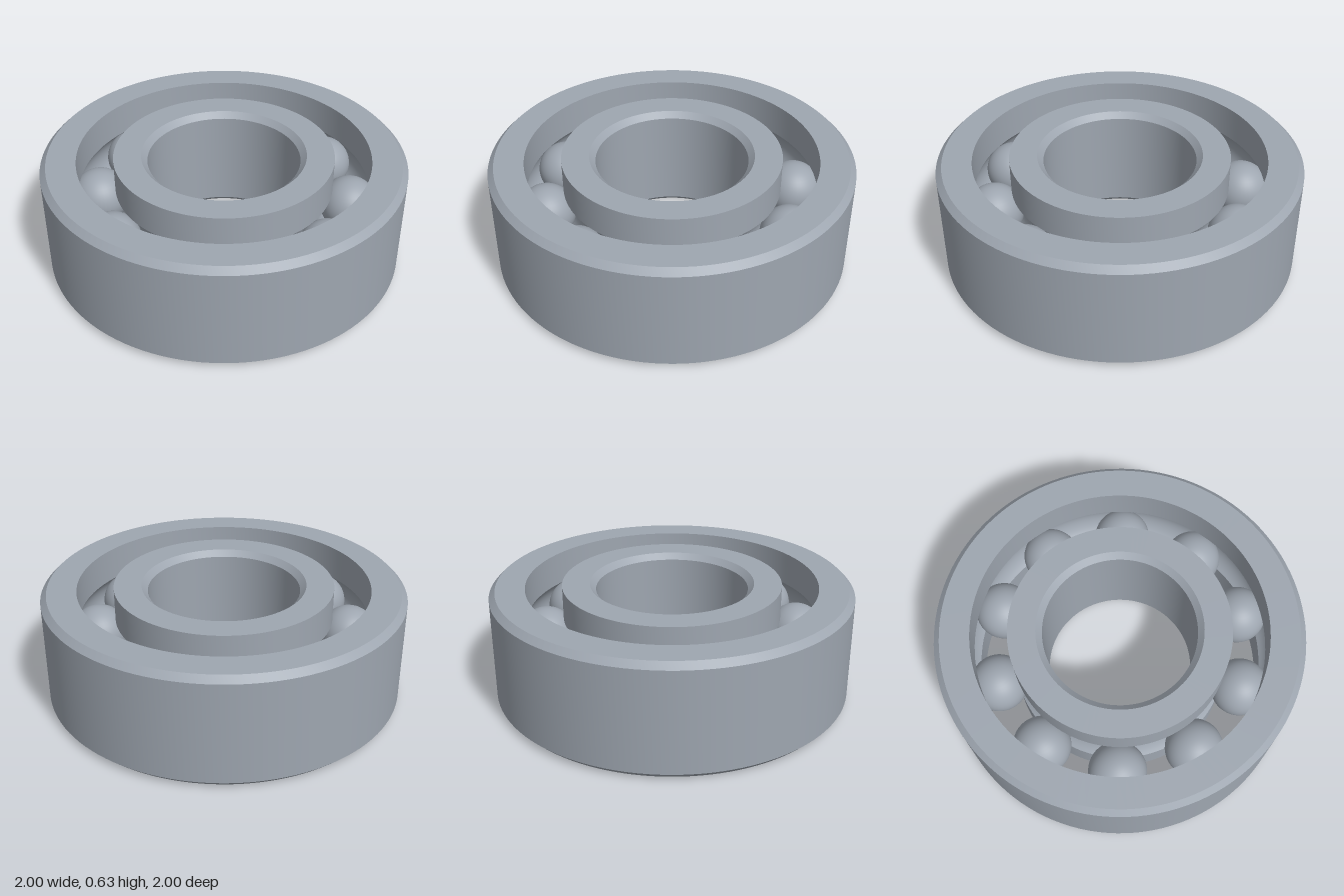
import * as THREE from 'three';
import { toCreasedNormals } from 'three/addons/utils/BufferGeometryUtils.js';

const HEIGHT = 0.63, MID = HEIGHT / 2, CHAMFER = 0.033;
const PITCH = 0.705, BALL = 0.16, GROOVE = 0.161, GAP = 0.1;
const BALL_COUNT = 10;

// Arc of the ball groove in a ring's profile, side +1 for the outer ring, -1 for the inner
function grooveArc(side) {
  const end = Math.acos(GAP / GROOVE), steps = 16, points = [];
  for (let i = 0; i <= steps; i++) {
    const a = side * end * (1 - (2 * i) / steps);
    // outer ring runs downwards, inner ring runs upwards
    points.push([PITCH + side * GROOVE * Math.cos(a), MID + GROOVE * Math.sin(a)]);
  }
  return points;
}

// Revolves a closed counter-clockwise profile into a ring with crisp edges
function ring(name, profile, material) {
  const points = [...profile, profile[0]].map(([r, y]) => new THREE.Vector2(r, y));
  const geometry = toCreasedNormals(new THREE.LatheGeometry(points, 120), Math.PI / 7);
  const mesh = new THREE.Mesh(geometry, material);
  mesh.name = name;
  return mesh;
}

export function createModel() {
  const group = new THREE.Group();
  group.name = 'ballBearing';
  const steel = new THREE.MeshStandardMaterial({ color: 0x9ea6b0 });
  steel.name = 'steel';

  // Outer race: chamfered outside, grooved inside
  const outerBore = PITCH + GAP;
  group.add(ring('outerRace', [
    [outerBore, 0], [1 - CHAMFER, 0], [1, CHAMFER],
    [1, HEIGHT - CHAMFER], [1 - CHAMFER, HEIGHT], [outerBore, HEIGHT],
    ...grooveArc(1),
  ], steel));

  // Inner race: grooved outside, chamfered bore
  const bore = 0.42, innerRim = PITCH - GAP;
  group.add(ring('innerRace', [
    [innerRim, 0], ...grooveArc(-1), [innerRim, HEIGHT],
    [bore + CHAMFER, HEIGHT], [bore, HEIGHT - CHAMFER],
    [bore, CHAMFER], [bore + CHAMFER, 0],
  ], steel));

  // Balls spaced evenly between the races
  const balls = new THREE.Group();
  balls.name = 'balls';
  const ballGeometry = new THREE.SphereGeometry(BALL, 40, 24);
  for (let i = 0; i < BALL_COUNT; i++) {
    const a = THREE.MathUtils.degToRad(12 + (i * 360) / BALL_COUNT);
    const ball = new THREE.Mesh(ballGeometry, steel);
    ball.name = `ball${i + 1}`;
    ball.position.set(PITCH * Math.cos(a), MID, PITCH * Math.sin(a));
    balls.add(ball);
  }
  group.add(balls);
  return group;
}
